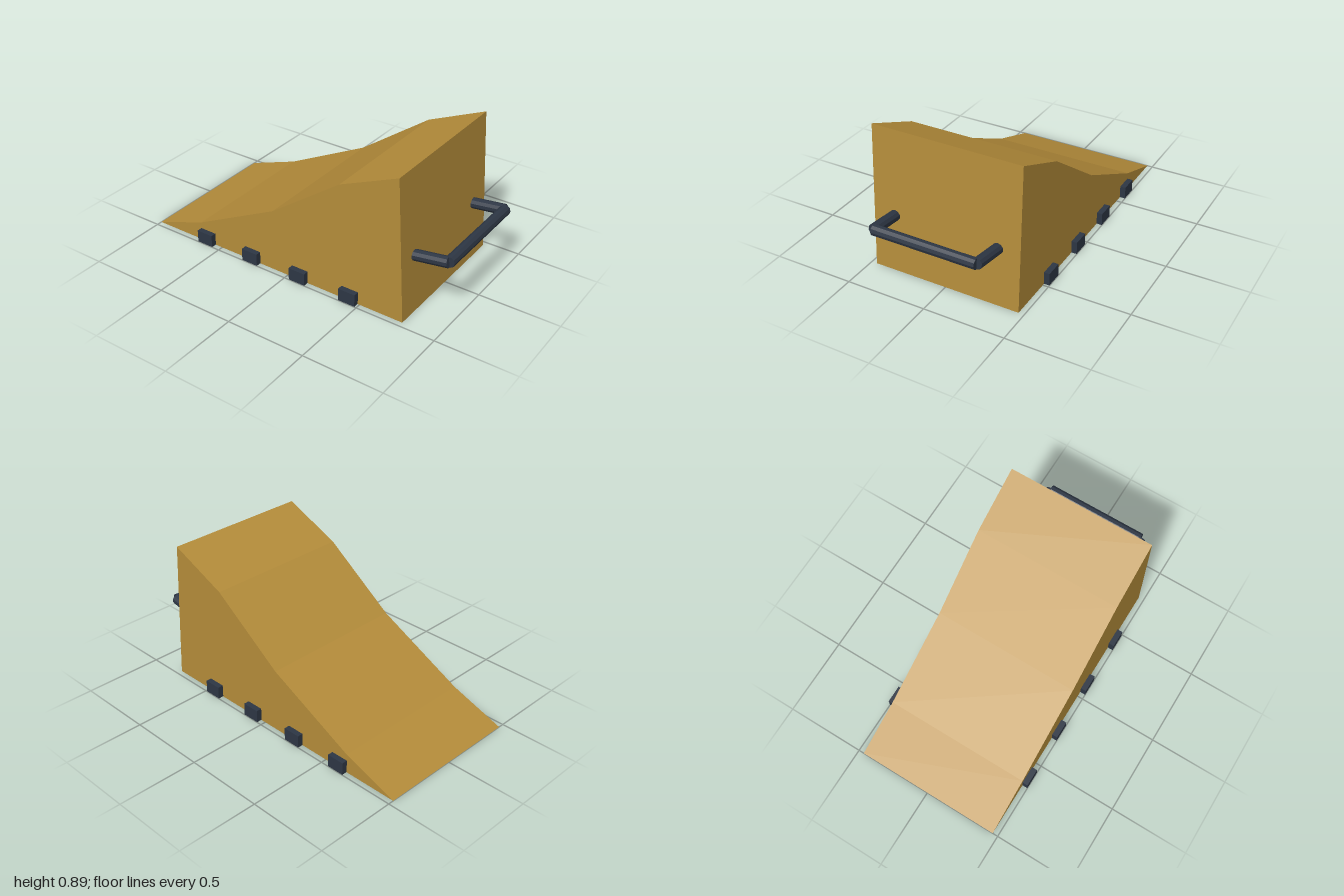
import * as THREE from 'three';

export function createModel() {
  const model = new THREE.Group();
  model.name = 'ramp';
  const wood = new THREE.MeshStandardMaterial({ color: 0xb48c3a, flatShading: true });
  wood.name = 'ochre wood';
  const slate = new THREE.MeshStandardMaterial({ color: 0x2d3644, flatShading: true });
  slate.name = 'dark slate';

  const add = (geometry, material, name) => {
    const mesh = new THREE.Mesh(geometry, material);
    mesh.name = name;
    model.add(mesh);
    return mesh;
  };

  // Wedge body: side profile as (z, y), extruded across the width
  const profile = [[0.78, 0], [0.73, 0.89], [0.36, 0.73], [-0.1, 0.4], [-0.66, 0.12], [-1, 0]];
  const shape = new THREE.Shape(profile.map(([z, y]) => new THREE.Vector2(z, y)));
  const body = new THREE.ExtrudeGeometry(shape, { depth: 0.93, bevelEnabled: false });
  body.rotateY(-Math.PI / 2).translate(0.465, 0, 0);
  add(body, wood, 'rampBody');

  // Cross battens whose ends stick out of both sides, just clear of the underside
  for (let i = 0; i < 4; i++) {
    const batten = add(new THREE.BoxGeometry(1, 0.078, 0.11), slate, 'batten' + (i + 1));
    batten.position.set(0, 0.041, 0.433 - i * 0.346);
  }

  // Pull handle: a bar on two slightly rising arms
  const rod = (from, to, name) => {
    const direction = to.clone().sub(from);
    const mesh = add(new THREE.CylinderGeometry(0.033, 0.033, direction.length(), 10), slate, name);
    mesh.position.copy(from).add(to).multiplyScalar(0.5);
    mesh.quaternion.setFromUnitVectors(new THREE.Vector3(0, 1, 0), direction.normalize());
  };
  const corner = (side) => new THREE.Vector3(side * 0.322, 0.391, 0.967);
  rod(corner(-1), corner(1), 'handleBar');
  for (const side of [-1, 1]) {
    rod(new THREE.Vector3(side * 0.328, 0.361, 0.75), corner(side), side > 0 ? 'leftHandleArm' : 'rightHandleArm');
  }
  return model;
}
